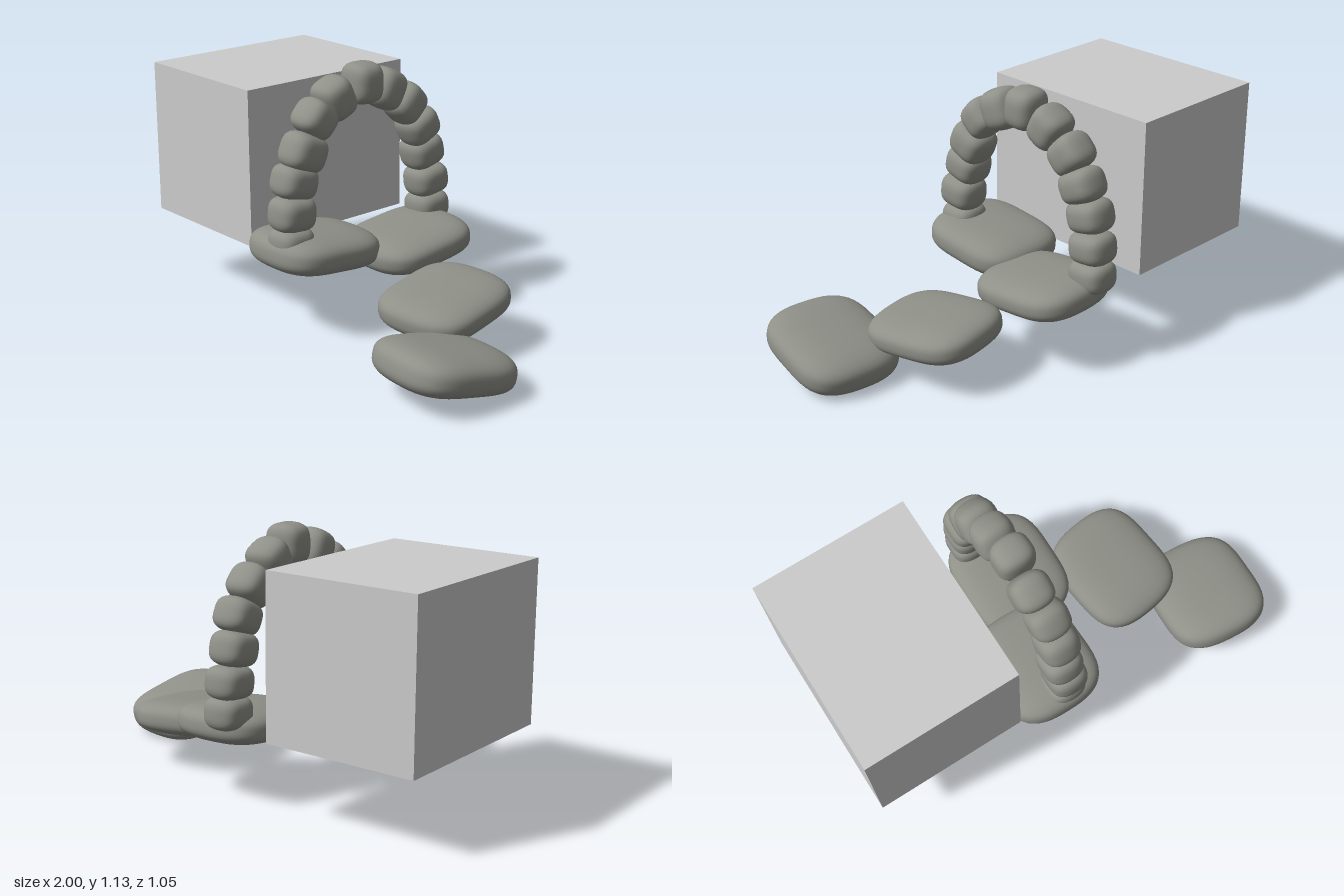
import * as THREE from 'three';
import { mergeVertices } from 'three/addons/utils/BufferGeometryUtils.js';

const stoneMat = new THREE.MeshStandardMaterial({ color: 0x8f9088 });
stoneMat.name = 'stone grey';
const blockMat = new THREE.MeshStandardMaterial({ color: 0xcccccc });
blockMat.name = 'pale grey';

// Pebble: a subdivided cube pushed onto |x|^p + |y|^q + |z|^r = 1, then scaled
function pebble(half, exps, segments = 14) {
  let geo = new THREE.BoxGeometry(2, 2, 2, segments, segments, segments);
  geo.deleteAttribute('uv');
  geo.deleteAttribute('normal');
  geo = mergeVertices(geo);
  const pos = geo.attributes.position;
  const v = new THREE.Vector3();
  for (let i = 0; i < pos.count; i++) {
    v.fromBufferAttribute(pos, i);
    let lo = 0, hi = 1.01;
    for (let k = 0; k < 24; k++) {
      const t = (lo + hi) / 2;
      const sum = Math.abs(v.x * t) ** exps[0] + Math.abs(v.y * t) ** exps[1] + Math.abs(v.z * t) ** exps[2];
      if (sum > 1) hi = t; else lo = t;
    }
    v.multiplyScalar(lo);
    pos.setXYZ(i, v.x * half[0], v.y * half[1], v.z * half[2]);
  }
  geo.computeVertexNormals();
  return geo;
}

function add(group, name, geo, mat, position, rotation = [0, 0, 0]) {
  const mesh = new THREE.Mesh(geo, mat);
  mesh.name = name;
  mesh.position.set(...position);
  mesh.rotation.set(...rotation);
  group.add(mesh);
  return mesh;
}

export function createModel() {
  const model = new THREE.Group();
  model.name = 'stoneArchway';

  // Plain block behind the arch
  add(model, 'block', new THREE.BoxGeometry(0.69, 0.693, 0.868), blockMat, [-0.655, 0.688, -0.058]);

  // Flat stepping stones: centre, half sizes, tilt
  const steps = new THREE.Group();
  steps.name = 'steppingStones';
  model.add(steps);
  [
    { at: [-0.108, 0.357, 0.191], half: [0.227, 0.085, 0.26], rot: [-0.1, 0, 0] },
    { at: [0.017, 0.318, -0.236], half: [0.227, 0.079, 0.26], rot: [0.1, 0, -0.03] },
    { at: [0.453, 0.212, -0.039], half: [0.228, 0.078, 0.262], rot: [0.11, 0.14, -0.06] },
    { at: [0.759, 0.128, 0.262], half: [0.235, 0.089, 0.262], rot: [-0.22, -0.1, 0] },
  ].forEach((s, i) => add(steps, `steppingStone${i + 1}`, pebble(s.half, [2.7, 2.9, 3.8]), stoneMat, s.at, s.rot));

  // Arch of stacked stones: [z, y, half length along the arch, half radial width]
  const arch = new THREE.Group();
  arch.name = 'arch';
  model.add(arch);
  const stones = [
    [0.345, 0.415, 0.075, 0.09], [0.342, 0.55, 0.076, 0.095], [0.32, 0.682, 0.074, 0.093],
    [0.277, 0.803, 0.082, 0.094], [0.213, 0.932, 0.078, 0.083], [0.102, 1.0, 0.08, 0.091],
    [-0.047, 1.045, 0.078, 0.09], [-0.18, 0.996, 0.08, 0.09], [-0.3, 0.912, 0.08, 0.088],
    [-0.372, 0.798, 0.074, 0.09], [-0.41, 0.673, 0.074, 0.092], [-0.432, 0.538, 0.071, 0.093],
    [-0.437, 0.412, 0.07, 0.092],
  ];
  stones.forEach(([z, y, length, width], i) => {
    const a = stones[Math.max(i - 1, 0)];
    const b = stones[Math.min(i + 1, stones.length - 1)];
    const lean = Math.atan2(b[0] - a[0], b[1] - a[1]);
    const x = -0.075 + 0.006 * Math.sin(i * 2.3);
    add(arch, `archStone${i + 1}`, pebble([0.087, length, width], [2.3, 3.2, 3.6], 10), stoneMat, [x, y, z], [lean, 0, 0]);
  });

  return model;
}
